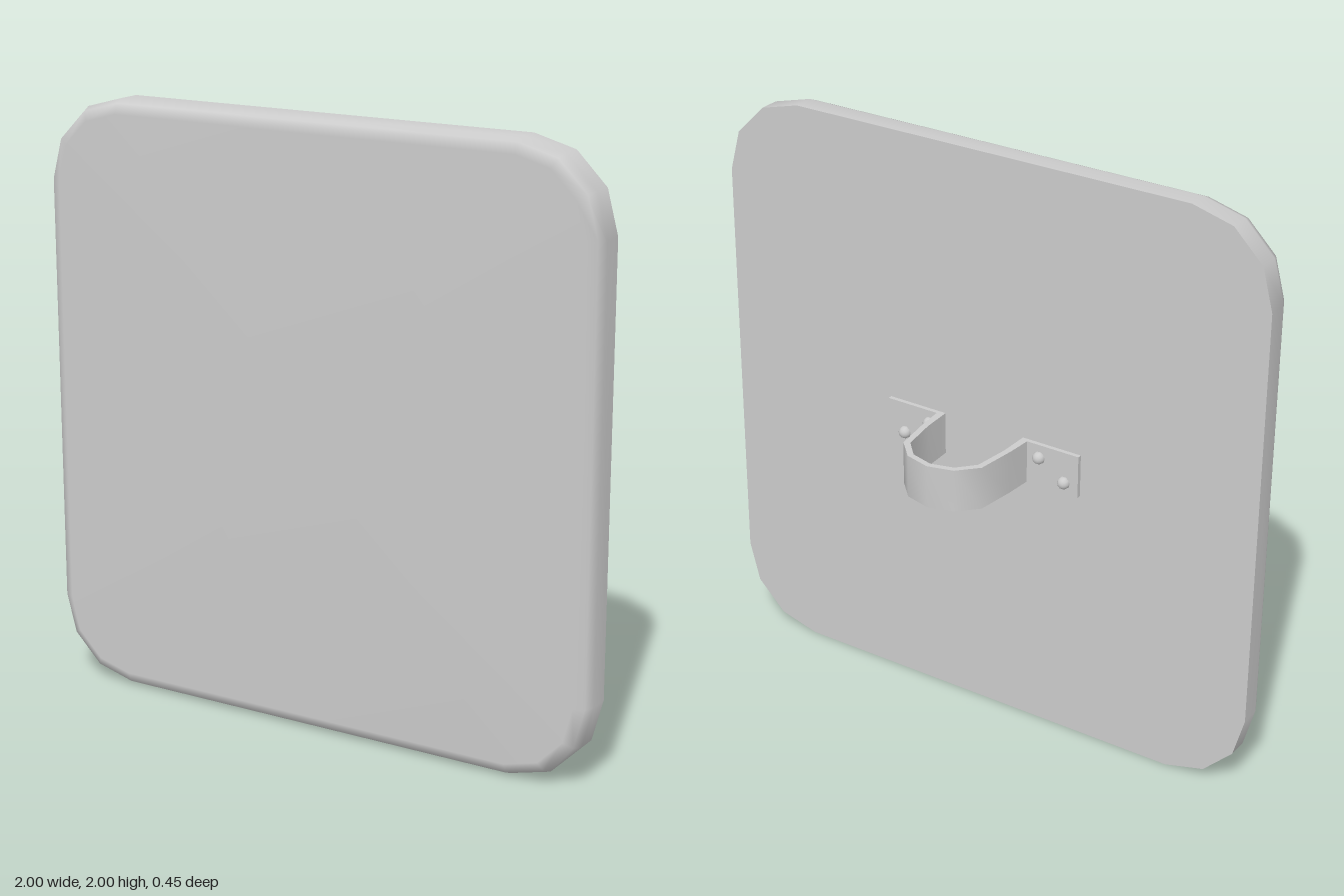
import * as THREE from 'three';
import { toCreasedNormals } from 'three/addons/utils/BufferGeometryUtils.js';

const BACK = 0.105, FRONT = 0.223;

// Rounded-square outline, pulled inwards by `inset`
function outline(inset) {
  const points = [], c = 0.72, r = 0.28 - inset;
  for (let corner = 0; corner < 4; corner++) {
    const sx = corner === 0 || corner === 3 ? 1 : -1;
    const sy = corner < 2 ? 1 : -1;
    for (let i = 0; i <= 3; i++) {
      const a = (corner + i / 3) * Math.PI / 2;
      points.push([sx * c + r * Math.cos(a), 1 + sy * c + r * Math.sin(a)]);
    }
  }
  return points;
}

// Panel skin: straight side, rolled front edge, and a fan closing the front
function panelGeometry() {
  const rings = [[0, BACK], [0, 0.175], [0.014, 0.207], [0.048, FRONT]];
  const position = [], index = [], n = 16;
  for (const [inset, z] of rings) {
    for (const [x, y] of outline(inset)) position.push(x, y, z);
  }
  position.push(0, 1, FRONT);
  const centre = rings.length * n;
  for (let j = 0; j < n; j++) {
    const k = (j + 1) % n;
    for (let r = 0; r < rings.length - 1; r++) {
      const a = r * n + j, b = r * n + k;
      index.push(a, b, b + n, a, b + n, a + n);
    }
    index.push(centre - n + j, centre - n + k, centre);
  }
  const geometry = new THREE.BufferGeometry();
  geometry.setAttribute('position', new THREE.Float32BufferAttribute(position, 3));
  geometry.setIndex(index);
  geometry.computeVertexNormals();
  return geometry;
}

// Bent strap: half profile (x, -z) mirrored, then extruded upwards
function strapGeometry() {
  const outer = [[0.367, -BACK], [0.367, -0.09], [0.175, -0.09], [0.168, 0], [0.15, 0.135], [0.088, 0.2]];
  const inner = [[0.15, -BACK], [0.147, 0], [0.13, 0.125], [0.078, 0.182]];
  const mirror = (pts) => pts.map(([x, y]) => [-x, y]);
  const loop = [
    ...outer, [0, 0.223], ...mirror(outer).reverse(),
    ...mirror(inner), [0, 0.203], ...inner.slice().reverse(),
  ];
  const shape = new THREE.Shape(loop.map(([x, y]) => new THREE.Vector2(x, y)));
  const geometry = new THREE.ExtrudeGeometry(shape, { depth: 0.148, bevelEnabled: false });
  geometry.rotateX(-Math.PI / 2).translate(0, 0.908, 0);
  return toCreasedNormals(geometry, 0.8);
}

export function createModel() {
  const model = new THREE.Group();
  const material = new THREE.MeshStandardMaterial({ color: 0xcccccc });
  const add = (name, geometry, parent = model) => {
    const mesh = new THREE.Mesh(geometry, material);
    mesh.name = name;
    parent.add(mesh);
    return mesh;
  };

  // Panel with a flat, sharp-edged back
  const panel = new THREE.Group();
  panel.name = 'panel';
  model.add(panel);
  add('panelFront', panelGeometry(), panel);
  const backShape = new THREE.Shape(outline(0).map(([x, y]) => new THREE.Vector2(x, y)));
  const back = add('panelBack', new THREE.ShapeGeometry(backShape).rotateY(Math.PI), panel);
  back.position.z = BACK;

  // Handle strap and its feet
  add('handle', strapGeometry());

  // Domed rivets: inner ones high, outer ones low
  const dome = new THREE.SphereGeometry(0.022, 10, 4, 0, Math.PI * 2, 0, Math.PI / 2).rotateX(-Math.PI / 2);
  for (const [x, y] of [[-0.315, 0.948], [-0.22, 1.01], [0.205, 1.01], [0.302, 0.948]]) {
    add('rivet', dome).position.set(x, y, 0.09);
  }
  return model;
}
